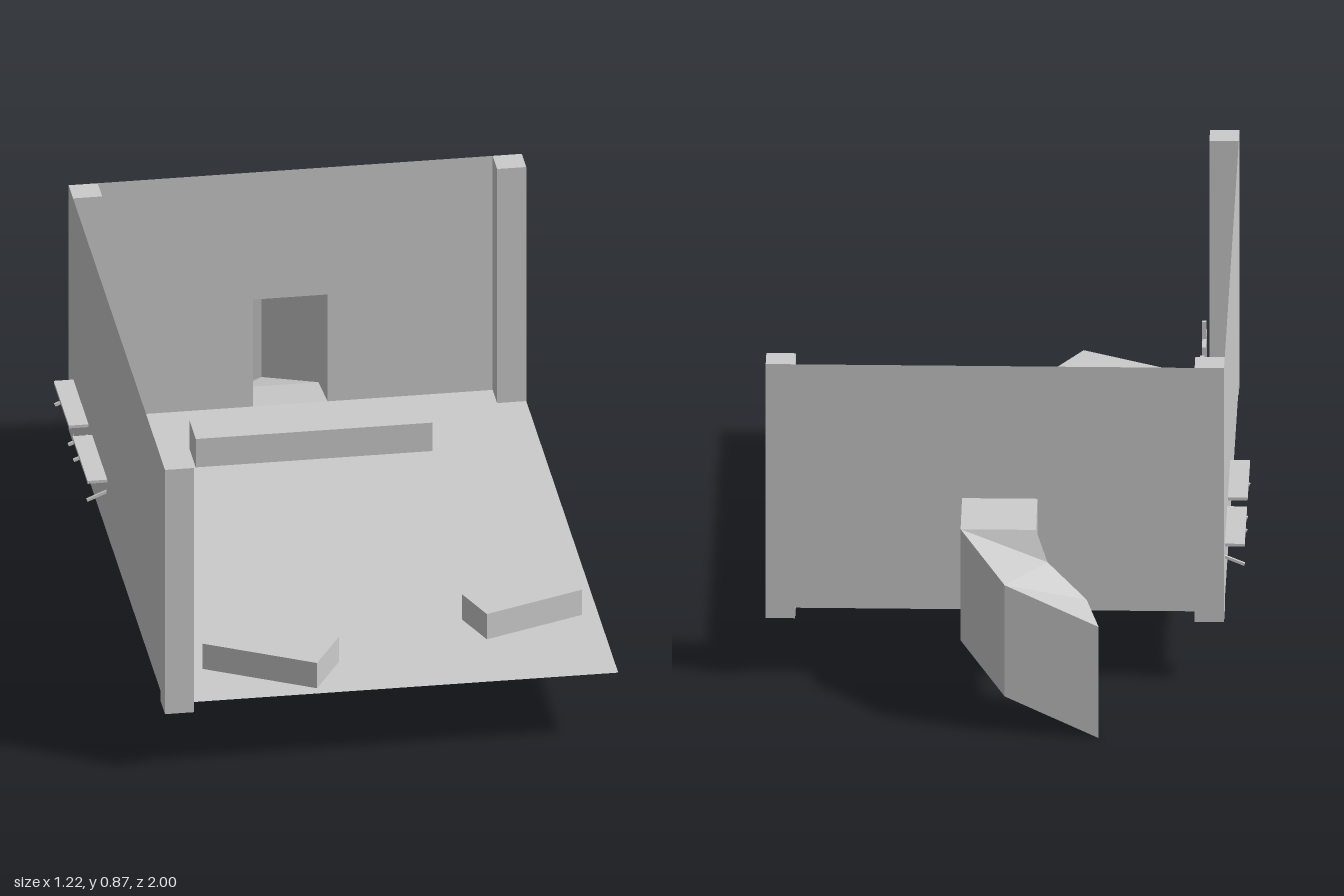
import * as THREE from 'three';

const mat = new THREE.MeshStandardMaterial({ color: 0xcccccc, flatShading: true });
const thin = new THREE.MeshStandardMaterial({ color: 0xcccccc, flatShading: true, side: THREE.DoubleSide });

const X0 = -0.56, X1 = 0.607, Z0 = -0.62, Z1 = 1.0; // room limits
const FLOOR = 0.197, TOP = 0.865;

function box(parent, name, size, pos, rotY = 0, rotZ = 0) {
  const m = new THREE.Mesh(new THREE.BoxGeometry(...size), mat);
  m.name = name;
  m.position.set(...pos);
  m.rotation.set(0, rotY, rotZ);
  parent.add(m);
  return m;
}

function sheet(parent, name, geometry) {
  const m = new THREE.Mesh(geometry, thin);
  m.name = name;
  parent.add(m);
  return m;
}

// Four-sided open tube through a list of [left x, left z, right x, right z, bottom y]
function passageGeometry(sections, height) {
  const corners = sections.map(([lx, lz, rx, rz, y]) => [
    [lx, y, lz], [rx, y, rz], [rx, y + height, rz], [lx, y + height, lz],
  ]);
  const pos = [];
  for (let s = 0; s < corners.length - 1; s++) {
    for (let k = 0; k < 4; k++) {
      const a = corners[s][k], b = corners[s][(k + 1) % 4];
      const c = corners[s + 1][(k + 1) % 4], d = corners[s + 1][k];
      pos.push(...a, ...c, ...b, ...a, ...d, ...c);
    }
  }
  const g = new THREE.BufferGeometry();
  g.setAttribute('position', new THREE.Float32BufferAttribute(pos, 3));
  g.computeVertexNormals();
  return g;
}

// Training stand: base, pole, crossbar and two hanging arms
function createStand() {
  const g = new THREE.Group();
  g.name = 'trainingStand';
  box(g, 'standBase', [0.07, 0.014, 0.07], [0, 0.007, 0]);
  box(g, 'standPole', [0.011, 0.283, 0.011], [0, 0.1415, 0]);
  box(g, 'standCrossbar', [0.01, 0.012, 0.125], [0, 0.23, 0]);
  for (const s of [-1, 1]) box(g, 'standArm', [0.01, 0.12, 0.01], [0, 0.166, s * 0.0575]);
  return g;
}

// Wall shelf that passes through the wall, with two sloping struts
function createShelf() {
  const g = new THREE.Group();
  g.name = 'wallShelf';
  box(g, 'shelfBoard', [0.135, 0.008, 0.255], [0, 0, 0]);
  for (const s of [-1, 1]) box(g, 'shelfStrut', [0.145, 0.007, 0.008], [0, -0.03, s * 0.113], 0, 0.39);
  return g;
}

export function createModel() {
  const root = new THREE.Group();
  root.name = 'trainingRoom';

  // Floor
  const floor = sheet(root, 'floor', new THREE.PlaneGeometry(X1 - X0, Z1 - Z0));
  floor.rotation.x = -Math.PI / 2;
  floor.position.set((X0 + X1) / 2, FLOOR, (Z0 + Z1) / 2);

  // Side wall
  const side = sheet(root, 'sideWall', new THREE.PlaneGeometry(Z1 - Z0, TOP - FLOOR));
  side.rotation.y = Math.PI / 2;
  side.position.set(X0, (TOP + FLOOR) / 2, (Z0 + Z1) / 2);

  // Back wall with a doorway notch
  const D0 = -0.085, D1 = 0.107, DH = 0.305;
  const outline = [
    [X0, FLOOR], [D0, FLOOR], [D0, FLOOR + DH], [D1, FLOOR + DH],
    [D1, FLOOR], [X1, FLOOR], [X1, TOP], [X0, TOP],
  ].map(([x, y]) => new THREE.Vector2(x, y));
  const back = sheet(root, 'backWall', new THREE.ShapeGeometry(new THREE.Shape(outline)));
  back.position.z = Z0;

  // Bent passage descending behind the doorway, open at both ends
  sheet(root, 'passage', passageGeometry([
    [D0, Z0, D1, Z0, FLOOR],
    [D0, -0.775, D1, -0.775, 0.174],
    [-0.115, -0.81, -0.01, -0.97, 0.1],
    [-0.215, -0.815, -0.25, -1.0, 0],
  ], DH));

  // Corner posts, standing slightly below the floor
  const P = 0.075;
  for (const [x, z] of [[X0 + P / 2, Z1 - P / 2], [X0 + P / 2, Z0 + P / 2], [X1 - P / 2, Z0 + P / 2]]) {
    box(root, 'cornerPost', [P, TOP - 0.168, P], [x, (TOP + 0.168) / 2, z]);
  }

  // Bench and two turned blocks
  box(root, 'longBench', [0.61, 0.108, 0.105], [0.024, 0.224, -0.356]);
  box(root, 'largeBlock', [0.312, 0.088, 0.16], [-0.261, 0.225, 0.825], -0.51);
  box(root, 'smallBlock', [0.278, 0.088, 0.128], [0.412, 0.225, 0.655], 0.365);

  // Row of stands and shelves along the side wall
  for (const z of [0.178, 0.413, 0.652]) {
    const stand = createStand();
    stand.position.set(-0.479, FLOOR, z);
    root.add(stand);
  }
  for (const z of [-0.412, -0.097]) {
    const shelf = createShelf();
    shelf.position.set(-0.543, 0.347, z);
    root.add(shelf);
  }
  return root;
}
